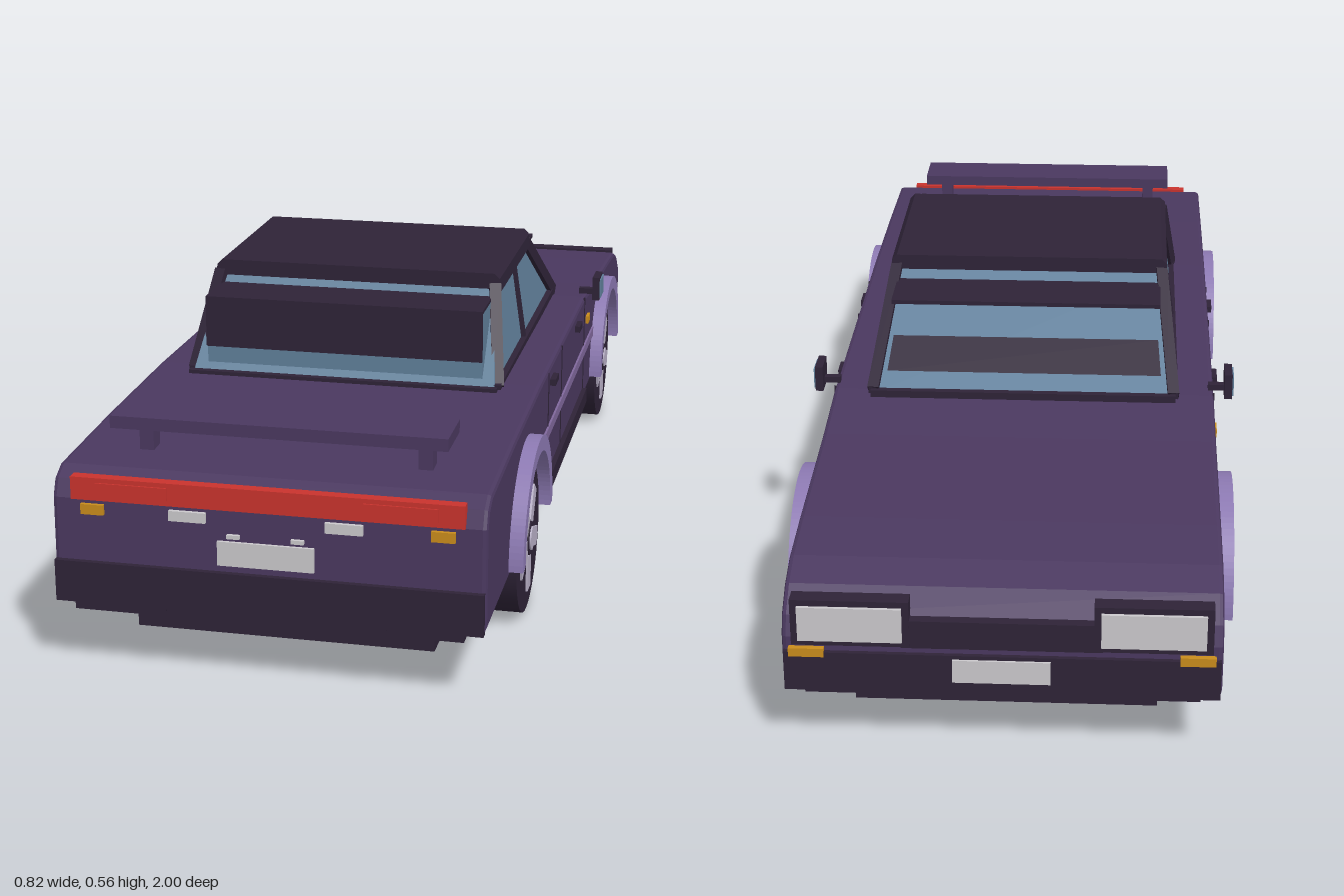
import * as THREE from 'three';

const mat = (name, color, side = THREE.FrontSide) => {
  const m = new THREE.MeshStandardMaterial({ color, side });
  m.name = name;
  return m;
};

export function createModel() {
  const car = new THREE.Group();
  car.name = 'car';
  const paint = mat('purple paint', 0x4a385f);
  const dark = mat('dark trim', 0x2e2337);
  const lilac = mat('lilac trim', 0x8c79b2);
  const stripePaint = mat('stripe', 0x80689c);
  const glass = mat('glass', 0x607f9a, THREE.DoubleSide);
  const rim = mat('rim', 0xb8b0c6);
  const red = mat('red lamp', 0xc9332d);
  const amber = mat('amber lamp', 0xc98c1c);
  const white = mat('white lamp', 0xcbc9cc);

  const add = (name, geo, m, parent = car) => {
    const mesh = new THREE.Mesh(geo, m);
    mesh.name = name;
    parent.add(mesh);
    return mesh;
  };
  // box from its low and high limits on each axis
  const box = (name, m, [x0, x1], [y0, y1], [z0, z1], parent = car) => {
    const b = add(name, new THREE.BoxGeometry(x1 - x0, y1 - y0, z1 - z0), m, parent);
    b.position.set((x0 + x1) / 2, (y0 + y1) / 2, (z0 + z1) / 2);
    return b;
  };
  // the same box on both sides of the car
  const pair = (name, m, [x0, x1], ys, zs) => {
    box(name, m, [x0, x1], ys, zs);
    box(name, m, [-x1, -x0], ys, zs);
  };
  // square bar between two points
  const bar = (name, a, b, w, h) => {
    const p = new THREE.Vector3(...a), q = new THREE.Vector3(...b);
    const m = add(name, new THREE.BoxGeometry(w, h, p.distanceTo(q) + 0.01), dark);
    m.position.copy(p).lerp(q, 0.5);
    m.lookAt(q);
    return m;
  };
  const quad = (name, m, pts) => {
    const g = new THREE.BufferGeometry();
    g.setAttribute('position', new THREE.Float32BufferAttribute(pts.flat(), 3));
    g.setIndex([0, 1, 2, 0, 2, 3]);
    g.computeVertexNormals();
    return add(name, g, m);
  };

  // body: side outline with wheel arches, drawn with shape x = -z
  const axleY = 0.138, axles = [0.578, -0.58], archR = 0.156;
  const s = new THREE.Shape();
  s.moveTo(-0.99, 0.13);
  for (const p of [[-0.988, 0.31], [-0.975, 0.34], [-0.945, 0.356], [-0.7, 0.365], [-0.4, 0.37], [0.28, 0.362],
    [0.45, 0.345], [0.75, 0.327], [0.87, 0.316], [0.93, 0.295], [0.975, 0.26], [0.988, 0.225], [0.988, 0.13]]) s.lineTo(...p);
  for (const z of [...axles].reverse()) {
    s.lineTo(-z + archR, 0.13);
    s.absarc(-z, axleY, archR, 0, Math.PI, false);
    s.lineTo(-z - archR, 0.13);
  }
  s.closePath();
  const bodyGeo = new THREE.ExtrudeGeometry(s, {
    depth: 0.728, bevelEnabled: true, bevelSize: 0.008, bevelOffset: -0.008,
    bevelThickness: 0.008, bevelSegments: 2, curveSegments: 24,
  });
  bodyGeo.translate(0, 0, -0.364);
  add('body', bodyGeo, paint).rotation.y = Math.PI / 2;

  // underside
  box('underbody', dark, [-0.265, 0.265], [0.037, 0.135], [-0.88, 0.88]);
  box('floor', dark, [-0.28, 0.28], [0.122, 0.132], [-0.97, 0.97]);
  for (const [a, b] of [[0.735, 0.985], [-0.42, 0.42], [-0.985, -0.74]])
    box('floor edge', dark, [-0.365, 0.365], [0.124, 0.132], [a, b]);

  // wheels with five-spoke rims and flared arches
  for (const z of axles) for (const side of [1, -1]) {
    const wheel = new THREE.Group();
    wheel.name = 'wheel';
    wheel.position.set(side * 0.33, axleY - 0.001, z);
    wheel.rotation.y = side * Math.PI / 2;
    car.add(wheel);
    add('tyre', new THREE.CylinderGeometry(0.136, 0.136, 0.098, 36), dark, wheel).rotation.x = Math.PI / 2;
    for (let i = 0; i < 5; i++) {
      const a = -Math.PI / 2 + i * Math.PI * 2 / 5;
      const spoke = add('spoke', new THREE.BoxGeometry(0.068, 0.036, 0.008), rim, wheel);
      spoke.position.set(Math.cos(a) * 0.064, Math.sin(a) * 0.064, 0.049);
      spoke.rotation.z = a;
    }
    for (const [r, d, m] of [[0.031, 0.01, dark], [0.022, 0.016, rim]]) {
      const hub = add('hub', new THREE.CylinderGeometry(r, r, d, 20), m, wheel);
      hub.rotation.x = Math.PI / 2;
      hub.position.z = 0.05;
    }
    const ring = new THREE.Shape();
    ring.absarc(0, 0, 0.183, 0, Math.PI, false);
    ring.absarc(0, 0, 0.154, Math.PI, 0, true);
    const flare = add('arch flare', new THREE.ExtrudeGeometry(ring, { depth: 0.036, bevelEnabled: false, curveSegments: 24 }), lilac);
    flare.position.set(side * 0.362, 0.144, z);
    flare.rotation.y = side * Math.PI / 2;
  }

  // side trim
  pair('side stripe', stripePaint, [0.368, 0.376], [0.235, 0.255], [-0.42, 0.41]);
  pair('sill', dark, [0.36, 0.382], [0.125, 0.157], [-0.27, 0.29]);
  for (const z of [0.245, -0.13]) pair('door handle', dark, [0.37, 0.383], [0.33, 0.343], [z - 0.022, z + 0.022]);
  for (const z of [0.29, 0.1, -0.27]) pair('door gap', dark, [0.37, 0.3735], [0.157, 0.362], [z - 0.002, z + 0.002]);
  pair('side marker', amber, [0.37, 0.378], [0.296, 0.312], [-0.332, -0.298]);
  pair('mirror stalk', dark, [0.36, 0.395], [0.373, 0.385], [-0.28, -0.265]);
  pair('mirror', dark, [0.391, 0.406], [0.365, 0.415], [-0.302, -0.245]);
  pair('mirror glass', glass, [0.406, 0.409], [0.37, 0.41], [-0.298, -0.249]);

  // cabin: four glass faces, pillars, rails and roof
  const bx = 0.292, tx = 0.268, by = 0.365, ty = 0.53;
  const base = { front: -0.31, back: 0.445 }, top = { front: -0.06, back: 0.315 };
  quad('windscreen', glass, [[bx, by, base.front], [-bx, by, base.front], [-tx, ty, top.front], [tx, ty, top.front]]);
  quad('rear window', glass, [[-bx, by, base.back], [bx, by, base.back], [tx, ty, top.back], [-tx, ty, top.back]]);
  for (const k of [1, -1]) {
    quad('side window', glass, [[k * bx, by, base.back], [k * bx, by, base.front], [k * tx, ty, top.front], [k * tx, ty, top.back]]);
    bar('front pillar', [k * bx, 0.37, -0.295], [k * tx, ty, -0.055], 0.022, 0.026);
    bar('rear pillar', [k * bx, 0.37, 0.41], [k * tx, ty, 0.31], 0.022, 0.034);
    bar('centre pillar', [k * bx, 0.37, 0.1], [k * tx, ty, 0.1], 0.014, 0.014);
    bar('window sill', [k * (bx + 0.002), 0.371, -0.3], [k * (bx + 0.002), 0.371, 0.43], 0.016, 0.014);
  }
  bar('windscreen base', [-bx, 0.367, -0.308], [bx, 0.367, -0.308], 0.014, 0.014);
  bar('rear window base', [-bx, 0.37, 0.448], [bx, 0.37, 0.448], 0.014, 0.012);
  const roofShape = new THREE.Shape();
  for (const [i, p] of [[-0.28, 0.524], [0.28, 0.524], [0.278, 0.55], [0.268, 0.56], [-0.268, 0.56], [-0.278, 0.55]].entries())
    i ? roofShape.lineTo(...p) : roofShape.moveTo(...p);
  add('roof', new THREE.ExtrudeGeometry(roofShape, { depth: 0.375, bevelEnabled: false }), dark).position.z = -0.06;
  box('sun visor', dark, [-0.265, 0.265], [0.509, 0.517], [-0.198, -0.055]);
  quad('windscreen band', dark, [[0.268, 0.397, -0.27], [-0.268, 0.397, -0.27], [-0.262, 0.443, -0.2], [0.262, 0.443, -0.2]]);
  // rear window shade
  box('shade glass', glass, [-0.266, 0.266], [0.37, 0.512], [0.31, 0.428]);
  box('shade top', dark, [-0.266, 0.266], [0.512, 0.518], [0.3, 0.434]);
  box('shade panel', dark, [-0.266, 0.266], [0.42, 0.518], [0.428, 0.436]);

  // spoiler
  box('spoiler', paint, [-0.292, 0.292], [0.412, 0.434], [0.808, 0.912]);
  pair('spoiler post', paint, [0.232, 0.257], [0.355, 0.415], [0.828, 0.862]);

  // tail end
  box('tail lamp bar', red, [-0.336, 0.336], [0.311, 0.351], [0.975, 0.995]);
  pair('tail lamp lens', red, [0.167, 0.292], [0.32, 0.343], [0.99, 0.998]);
  pair('rear indicator', amber, [0.28, 0.32], [0.285, 0.303], [0.985, 0.995]);
  pair('reversing lamp', white, [0.102, 0.166], [0.285, 0.303], [0.985, 0.995]);
  box('rear plate', white, [-0.083, 0.083], [0.212, 0.255], [0.986, 0.994]);
  pair('plate lamp', white, [0.044, 0.066], [0.261, 0.268], [0.986, 0.995]);
  box('rear bumper', dark, [-0.369, 0.369], [0.126, 0.2], [0.985, 0.999]);
  box('rear valance', dark, [-0.336, 0.336], [0.112, 0.13], [0.93, 0.995]);
  for (const x of [-0.19, 0.19]) {
    const pipe = add('exhaust', new THREE.CylinderGeometry(0.018, 0.018, 0.08, 16), dark);
    pipe.rotation.x = Math.PI / 2;
    pipe.position.set(x, 0.129, 0.958);
  }

  // nose
  box('grille', dark, [-0.17, 0.17], [0.21, 0.262], [-0.991, -0.965]);
  pair('headlamp frame', dark, [0.155, 0.355], [0.212, 0.298], [-0.992, -0.962]);
  pair('headlamp', white, [0.167, 0.343], [0.223, 0.287], [-0.998, -0.99]);
  pair('front indicator', amber, [0.3, 0.36], [0.192, 0.208], [-0.998, -0.985]);
  box('front bumper', dark, [-0.369, 0.369], [0.126, 0.2], [-0.996, -0.98]);
  box('front plate', white, [-0.083, 0.083], [0.15, 0.193], [-1, -0.995]);
  box('front valance', dark, [-0.336, 0.336], [0.115, 0.13], [-0.985, -0.93]);

  return car;
}
